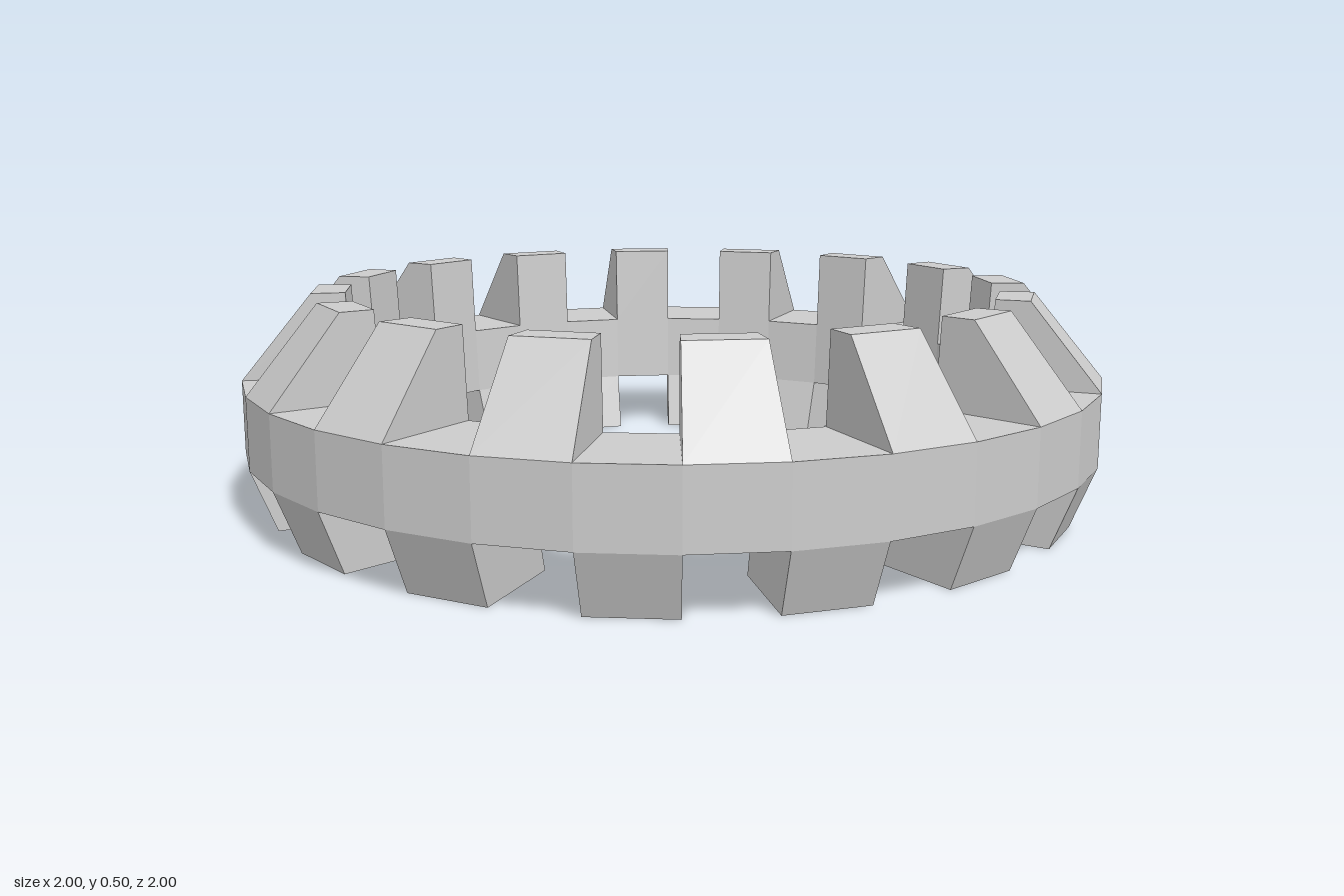
import * as THREE from 'three';

const SIDES = 32;
const STEP = (Math.PI * 2) / SIDES;

// Cross-section points as [radius, height]
const OUT_LOW = [1, 0.14], OUT_HIGH = [1, 0.305];
const IN_LOW = [0.742, 0.14], IN_HIGH = [0.752, 0.305];
const TOP_OUT = [0.84, 0.5], TOP_IN = [0.763, 0.5];
const BASE_OUT = [0.945, 0], BASE_IN = [0.703, 0];

// Builds faces between the angles of segment i; collects plain triangles
function segment(out, i) {
  const a0 = (i - 1) * STEP, a1 = i * STEP;
  const at = ([r, y], a) => [r * Math.sin(a), y, r * Math.cos(a)];
  const quad = (a, b, c, d) => out.push(...a, ...b, ...c, ...a, ...c, ...d);
  return {
    // face swept from section point p to q
    sweep: (p, q) => quad(at(p, a0), at(p, a1), at(q, a1), at(q, a0)),
    // flat end walls of a section [outerLow, outerHigh, innerHigh, innerLow]
    ends: (ol, oh, ih, il) => {
      quad(at(ol, a0), at(oh, a0), at(ih, a0), at(il, a0));
      quad(at(ol, a1), at(il, a1), at(ih, a1), at(oh, a1));
    },
  };
}

function makeMesh(name, positions, material) {
  const geo = new THREE.BufferGeometry();
  geo.setAttribute('position', new THREE.Float32BufferAttribute(positions, 3));
  geo.computeVertexNormals(); // unshared corners give flat facets
  const mesh = new THREE.Mesh(geo, material);
  mesh.name = name;
  return mesh;
}

export function createModel() {
  const group = new THREE.Group();
  group.name = 'toothedRing';
  const metal = new THREE.MeshStandardMaterial({ color: 0xcccccc });
  metal.name = 'light grey';

  const band = [];
  for (let i = 0; i < SIDES; i++) {
    // Central band, left open where a tooth grows out of it
    const ring = segment(band, i);
    ring.sweep(OUT_LOW, OUT_HIGH);
    ring.sweep(IN_HIGH, IN_LOW);

    const toothFaces = [];
    const tooth = segment(toothFaces, i);
    if (i % 2 === 0) {
      // Upper tooth leaning inward
      ring.sweep(IN_LOW, OUT_LOW);
      tooth.sweep(OUT_HIGH, TOP_OUT);
      tooth.sweep(TOP_OUT, TOP_IN);
      tooth.sweep(TOP_IN, IN_HIGH);
      tooth.ends(OUT_HIGH, TOP_OUT, TOP_IN, IN_HIGH);
      group.add(makeMesh('upperTooth', toothFaces, metal));
    } else {
      // Lower tooth under each notch
      ring.sweep(OUT_HIGH, IN_HIGH);
      tooth.sweep(BASE_OUT, OUT_LOW);
      tooth.sweep(IN_LOW, BASE_IN);
      tooth.sweep(BASE_IN, BASE_OUT);
      tooth.ends(BASE_OUT, OUT_LOW, IN_LOW, BASE_IN);
      group.add(makeMesh('lowerTooth', toothFaces, metal));
    }
  }
  group.add(makeMesh('band', band, metal));
  return group;
}
